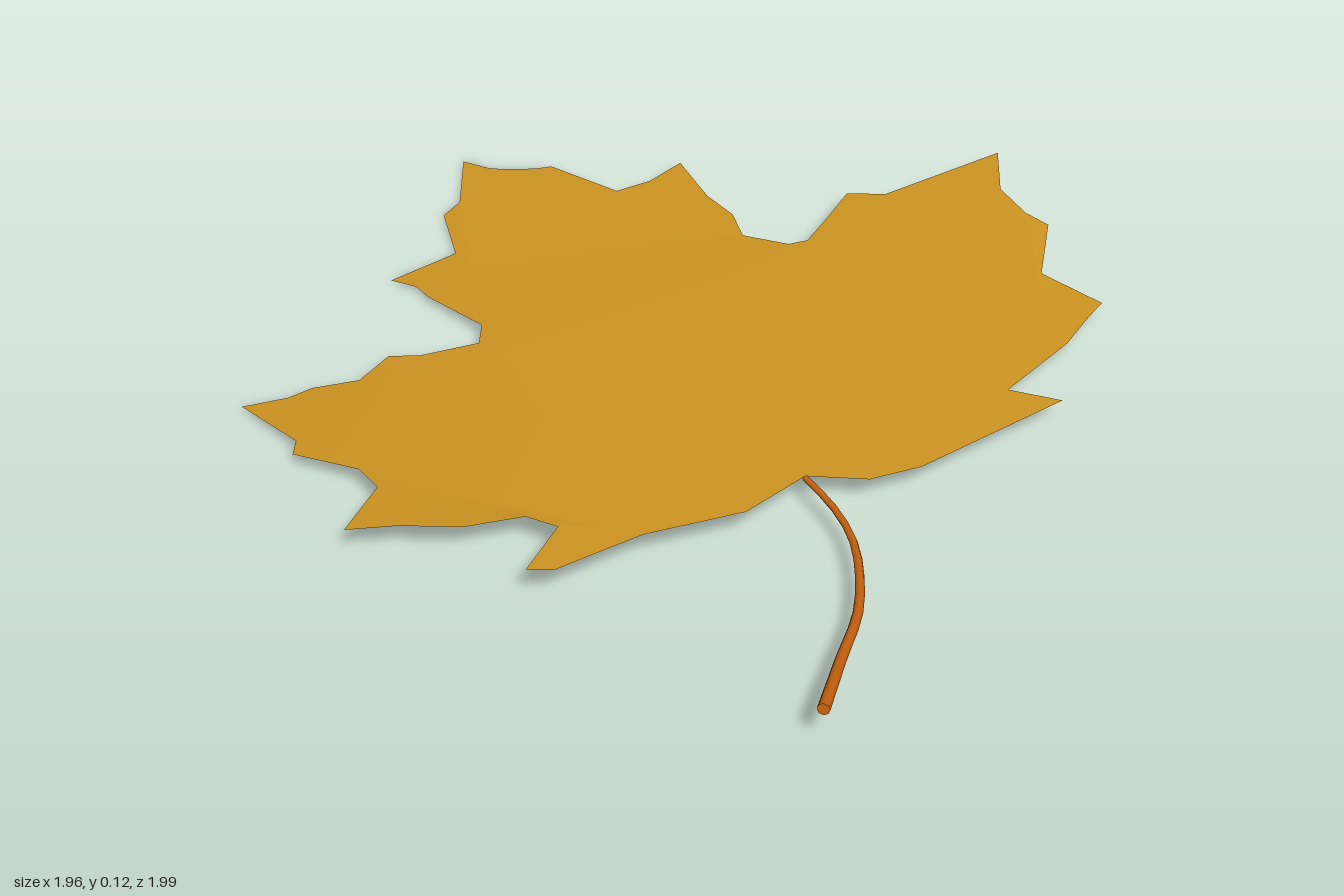
import * as THREE from 'three';

const leafGold = new THREE.MeshStandardMaterial({ color: 0xd09622, side: THREE.DoubleSide });
leafGold.name = 'leafGold';
const stemOrange = new THREE.MeshStandardMaterial({ color: 0xc8620f });
stemOrange.name = 'stemOrange';

// Leaf outline as x, z pairs, starting where the stem joins
const OUTLINE = [
  -0.2, 0.45, -0.11, 0.545, 0, 0.585, 0.39, 0.62, 0.33, 0.52, 0.55, 0.49, 0.66, 0.455, 0.72, 0.44,
  0.7, 0.28, 0.85, 0.165, 0.845, 0.1, 0.87, 0, 0.98, -0.11, 0.67, -0.17, 0.61, -0.235, 0.52, -0.2,
  0.41, -0.16, 0.37, -0.18, 0.325, -0.28, 0.37, -0.36, 0.385, -0.46, 0.44, -0.61, 0.34, -0.605,
  0.26, -0.63, 0.23, -0.825, 0.2, -0.845, 0.15, -0.9, 0.13, -0.93, 0.11, -1, -0.01, -0.87,
  -0.07, -0.855, -0.155, -0.71, -0.32, -0.735, -0.3, -0.67, -0.31, -0.62, -0.305, -0.44,
  -0.355, -0.39, -0.47, -0.45, -0.515, -0.5, -0.615, -0.475, -0.7, -0.53, -0.755, -0.54,
  -0.84, -0.59, -0.845, -0.395, -0.88, -0.36, -0.825, -0.21, -0.84, -0.13, -0.98, -0.06,
  -0.9, 0.01, -0.81, 0.105, -0.7, 0.165, -0.675, 0.235, -0.81, 0.295, -0.77, 0.335,
  -0.57, 0.37, -0.37, 0.455,
];

// Gentle droop towards the tip, plus a slight twist across the blade
const leafHeight = (x, z) =>
  Math.max(0, 0.075 + 0.075 * Math.min(z, 0) - 0.052 * x * (z + 0.25));

function createBlade() {
  const points = [];
  for (let i = 0; i < OUTLINE.length; i += 2) {
    points.push(new THREE.Vector2(OUTLINE[i], -OUTLINE[i + 1]));
  }
  const geometry = new THREE.ShapeGeometry(new THREE.Shape(points));
  geometry.rotateX(-Math.PI / 2);
  const pos = geometry.attributes.position;
  for (let i = 0; i < pos.count; i++) pos.setY(i, leafHeight(pos.getX(i), pos.getZ(i)));
  geometry.computeVertexNormals();
  const blade = new THREE.Mesh(geometry, leafGold);
  blade.name = 'leafBlade';
  return blade;
}

function createStem() {
  const path = new THREE.CatmullRomCurve3([
    [-0.2, 0.078, 0.45], [-0.22, 0.073, 0.55], [-0.27, 0.07, 0.66],
    [-0.4, 0.073, 0.8], [-0.54, 0.085, 0.89], [-0.678, 0.108, 0.982],
  ].map((p) => new THREE.Vector3(...p)));
  const steps = 14, sides = 8, endRadius = 0.013;
  const geometry = new THREE.TubeGeometry(path, steps, endRadius, sides);

  // Taper each ring towards the blade
  const pos = geometry.attributes.position;
  const v = new THREE.Vector3();
  for (let i = 0; i < pos.count; i++) {
    const t = Math.floor(i / (sides + 1)) / steps;
    const centre = path.getPointAt(t);
    v.fromBufferAttribute(pos, i).sub(centre).multiplyScalar(0.5 + 0.5 * t).add(centre);
    pos.setXYZ(i, v.x, v.y, v.z);
  }
  const stem = new THREE.Group();
  stem.name = 'stem';
  const stalk = new THREE.Mesh(geometry, stemOrange);
  stalk.name = 'stalk';

  // Cut end of the stem
  const cap = new THREE.Mesh(new THREE.CircleGeometry(endRadius, sides), stemOrange);
  cap.name = 'stemEnd';
  cap.position.copy(path.getPointAt(1));
  cap.quaternion.setFromUnitVectors(new THREE.Vector3(0, 0, 1), path.getTangentAt(1));
  stem.add(stalk, cap);
  return stem;
}

export function createModel() {
  const leaf = new THREE.Group();
  leaf.name = 'mapleLeaf';
  leaf.add(createBlade(), createStem());
  return leaf;
}
